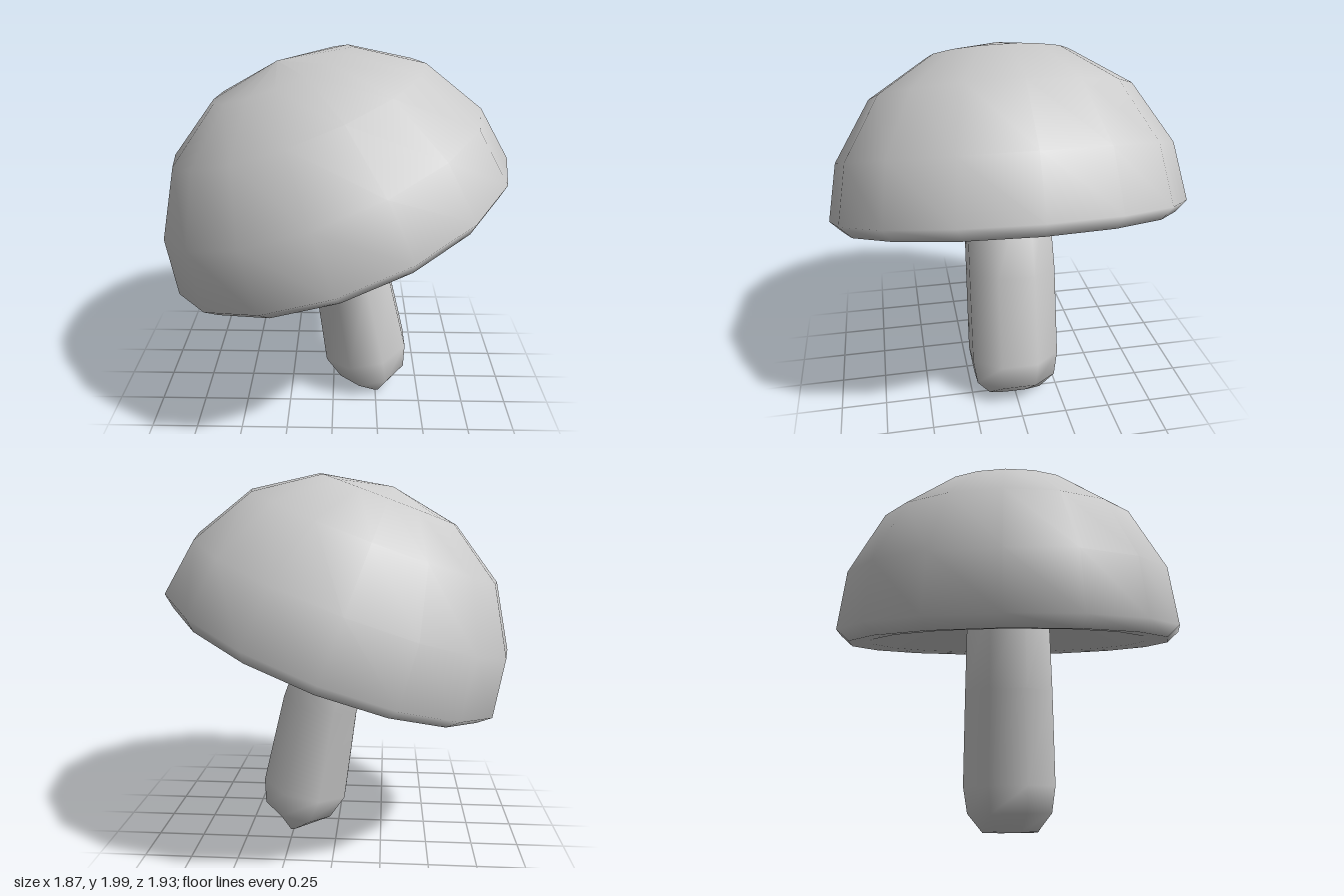
import * as THREE from 'three';
import { mergeVertices } from 'three/addons/utils/BufferGeometryUtils.js';

const SIDES = 8;

// Stem rings from top to bottom: centre x, centre y, half width x, half width z, tilt
const RINGS = [
  [-0.07, 1.22, 0.195, 0.225, 0.35],
  [0.0975, 0.745, 0.207, 0.24, 0.22],
  [0.19, 0.24, 0.235, 0.245, 0.21],
  [0.23, 0.105, 0.19, 0.225, 0.21],
  [0.255, 0.008, 0.025, 0.15, 0],
];

// Bends and tapers a cylinder by moving each row of vertices onto its ring
function stemGeometry() {
  const rows = RINGS.length - 1;
  const cylinder = new THREE.CylinderGeometry(1, 1, 1, SIDES, rows, false, Math.PI / SIDES);
  cylinder.deleteAttribute('uv');
  cylinder.deleteAttribute('normal');
  const geometry = mergeVertices(cylinder);
  const pos = geometry.attributes.position;
  const flat = Math.cos(Math.PI / SIDES);
  for (let i = 0; i < pos.count; i++) {
    const [cx, cy, wx, wz, tilt] = RINGS[Math.round((0.5 - pos.getY(i)) * rows)];
    const across = (pos.getX(i) / flat) * wx;
    pos.setXYZ(
      i,
      cx + across * Math.cos(tilt),
      cy + across * Math.sin(tilt),
      (pos.getZ(i) / flat) * wz
    );
  }
  geometry.computeVertexNormals();
  return geometry;
}

// Domed cap with a rounded rim and a shallow hollow underneath
function capGeometry() {
  const profile = [
    [0, 0.14], [0.5, 0.1], [0.78, 0.01], [0.902, 0],
    [0.966, 0.06], [0.91, 0.367], [0.71, 0.69], [0.39, 0.895], [0, 0.965],
  ].map(([r, y]) => new THREE.Vector2(r, y));
  return new THREE.LatheGeometry(profile, 16);
}

export function createModel() {
  const group = new THREE.Group();
  group.name = 'mushroom';
  const material = new THREE.MeshStandardMaterial({ color: 0xcccccc });

  const stem = new THREE.Mesh(stemGeometry(), material);
  stem.name = 'stem';

  // Cap leans over to one side
  const cap = new THREE.Mesh(capGeometry(), material);
  cap.name = 'cap';
  cap.position.set(0.045, 1.025, 0);
  cap.rotation.z = 0.356;

  group.add(stem, cap);
  return group;
}
